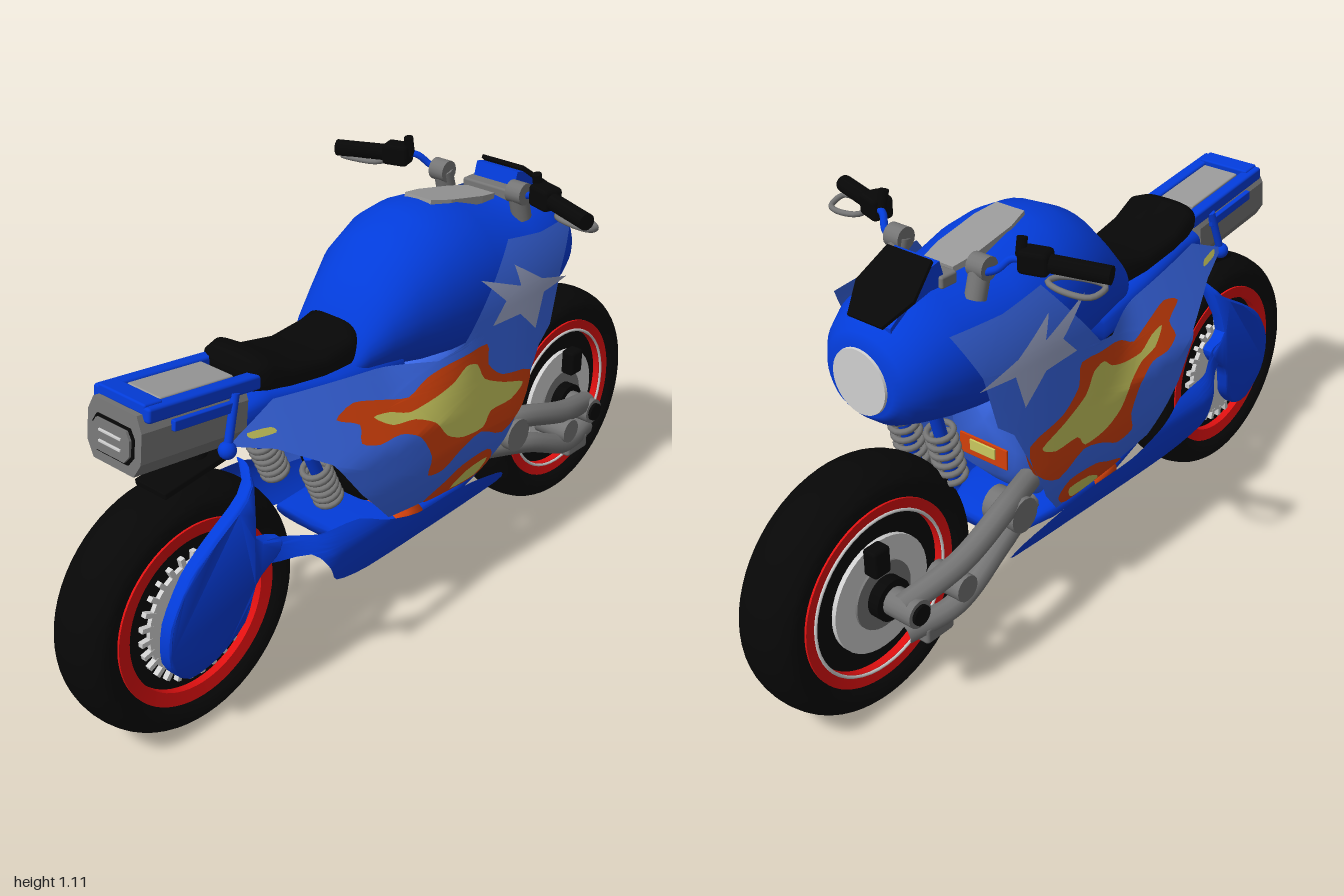
import * as THREE from 'three';
import { mergeVertices, toCreasedNormals } from 'three/addons/utils/BufferGeometryUtils.js';
import { RoundedBoxGeometry } from 'three/addons/geometries/RoundedBoxGeometry.js';

const V = (x, y, z) => new THREE.Vector3(x, y, z);
const shapeOf = pts => new THREE.Shape(pts.map(p => new THREE.Vector2(p[0], p[1])));
const { smoothstep, lerp } = THREE.MathUtils;

function paint(name, color, side = THREE.FrontSide) {
  const m = new THREE.MeshStandardMaterial({ color, side });
  m.name = name;
  return m;
}

export function createModel() {
  const model = new THREE.Group();
  model.name = 'motorcycle';
  const blue = paint('body blue', 0x033cda, THREE.DoubleSide);
  const pale = paint('panel blue', 0x3a6aec, THREE.DoubleSide);
  const orange = paint('camouflage orange', 0xd2400a, THREE.DoubleSide);
  const yellow = paint('camouflage yellow', 0xcac95e, THREE.DoubleSide);
  const bolt = paint('lightning silver', 0x9fa9cc, THREE.DoubleSide);
  const silver = paint('silver', 0x999999);
  const white = paint('disc white', 0xd0d0d0, THREE.DoubleSide);
  const grey = paint('metal grey', 0x757575);
  const black = paint('black', 0x070707, THREE.DoubleSide);
  const red = paint('rim red', 0xe01010);

  const add = (name, geo, mat, x = 0, y = 0, z = 0, parent = model) => {
    const mesh = new THREE.Mesh(geo, mat);
    mesh.name = name;
    mesh.position.set(x, y, z);
    parent.add(mesh);
    return mesh;
  };
  const box = (name, w, h, d, mat, x, y, z, parent) =>
    add(name, new RoundedBoxGeometry(w, h, d, 2, Math.min(w, h, d) * 0.2), mat, x, y, z, parent);
  const prism = (name, pts, depth, mat, y, z, parent) =>
    add(name, new THREE.ExtrudeGeometry(shapeOf(pts), { depth, bevelEnabled: false }), mat, 0, y, z, parent);
  // Straight round bar between two points
  const rod = (name, a, b, r, mat) => {
    const d = b.clone().sub(a);
    const m = add(name, new THREE.CylinderGeometry(r, r, d.length(), 16), mat);
    m.position.copy(a).addScaledVector(d, 0.5);
    m.quaternion.setFromUnitVectors(V(0, 1, 0), d.normalize());
  };
  const bend = (name, pts, r, mat, closed = false) =>
    add(name, new THREE.TubeGeometry(new THREE.CatmullRomCurve3(pts, closed), 28, r, 10, closed), mat);
  // Coil spring around a damper bar
  const spring = (name, a, b, r, mat) => {
    rod(name + 'Damper', a, b, r * 0.5, blue);
    const dir = b.clone().sub(a).normalize();
    for (let i = 0; i < 6; i++) {
      const t = add(name + 'Coil', new THREE.TorusGeometry(r, r * 0.24, 8, 18), mat);
      t.position.lerpVectors(a, b, 0.14 + i * 0.12);
      t.quaternion.setFromUnitVectors(V(0, 0, 1), dir);
    }
  };

  // Loft of rounded sections [z, bottom, top, half width], from rear to front
  const loft = (name, sections, mat, power = 2.1) => {
    const n = 40, pos = [], idx = [], e = 2 / power;
    const shut = ([z, b, t]) => [z, (b + t) / 2 - 1e-4, (b + t) / 2 + 1e-4, 1e-4];
    const rings = [shut(sections[0]), ...sections, shut(sections[sections.length - 1])];
    rings.forEach(([z, b, t, w], i) => {
      for (let j = 0; j < n; j++) {
        const a = (j / n) * Math.PI * 2, c = Math.cos(a), s = Math.sin(a);
        pos.push(w * Math.sign(c) * Math.abs(c) ** e, (b + t) / 2 + ((t - b) / 2) * Math.sign(s) * Math.abs(s) ** e, z);
        if (i === rings.length - 1) continue;
        const p = i * n + j, q = i * n + ((j + 1) % n);
        idx.push(p, p + n, q, q, p + n, q + n);
      }
    });
    const g = new THREE.BufferGeometry();
    g.setAttribute('position', new THREE.Float32BufferAttribute(pos, 3));
    g.setIndex(idx);
    g.computeVertexNormals();
    add(name, g, mat);
  };

  // Mirrored curved sheets: outline [z, y] in hundredths, pushed out to x = xOf(z, y)
  const curve = outline => new THREE.CatmullRomCurve3(outline.map(([z, y]) => V(z / 100, y / 100, 0)), true, 'catmullrom', 0.4)
    .getPoints(outline.length * 3).slice(0, -1).map(p => [p.x, p.y]);
  const sheet = (name, outline, xOf, mat, { round = false, off = 0, levels = 3 } = {}) => {
    const pts = round ? curve(outline) : outline.map(([z, y]) => [z / 100, y / 100]);
    const fp = new THREE.ShapeGeometry(shapeOf(pts)).toNonIndexed().attributes.position;
    let tris = [];
    for (let i = 0; i < fp.count; i += 3) tris.push([0, 1, 2].map(k => [fp.getX(i + k), fp.getY(i + k)]));
    const mid = (a, b) => [(a[0] + b[0]) / 2, (a[1] + b[1]) / 2];
    for (let l = 0; l < levels; l++) {
      tris = tris.flatMap(([a, b, c]) => {
        const d = mid(a, b), e = mid(b, c), f = mid(c, a);
        return [[a, d, f], [d, b, e], [f, e, c], [d, e, f]];
      });
    }
    for (const s of [1, -1]) {
      const pos = [];
      for (const t of tris) for (const [z, y] of s > 0 ? [t[0], t[2], t[1]] : t) pos.push(s * (xOf(z, y) + off), y, z);
      let g = new THREE.BufferGeometry();
      g.setAttribute('position', new THREE.Float32BufferAttribute(pos, 3));
      g = mergeVertices(g, 1e-5);
      g.computeVertexNormals();
      add((s > 0 ? 'left' : 'right') + name, g, mat);
    }
  };

  // Wheels
  const turn = pts => toCreasedNormals(new THREE.LatheGeometry(pts.map(p => new THREE.Vector2(...p)), 64).rotateZ(-Math.PI / 2), 0.6);
  const tyre = new THREE.CatmullRomCurve3([[0.228, -0.066], [0.25, -0.082], [0.278, -0.083], [0.302, -0.056], [0.313, 0],
    [0.302, 0.056], [0.278, 0.083], [0.25, 0.082], [0.228, 0.066]].map(p => V(p[0], p[1], 0))).getPoints(32).map(p => [p.x, p.y]);
  for (const [label, z] of [['rear', 0.687], ['front', -0.685]]) {
    const wheel = new THREE.Group();
    wheel.name = label + 'Wheel';
    wheel.position.set(0, 0.315, z);
    model.add(wheel);
    add('tyre', turn(tyre), black, 0, 0, 0, wheel);
    add('rim', turn([[0.198, -0.07], [0.231, -0.074], [0.231, 0.074], [0.198, 0.07], [0.198, -0.07]]), red, 0, 0, 0, wheel);
    add('wheelDisc', turn([[0, -0.05], [0.205, -0.05], [0.205, 0.05], [0, 0.05]]), black, 0, 0, 0, wheel);
    for (const s of [1, -1]) {
      const disc = (name, r, w, x, mat) => add(name, new THREE.CylinderGeometry(r, r, w, 40).rotateZ(Math.PI / 2), mat, s * x, 0, 0, wheel);
      disc('brakeDisc', 0.145, 0.012, 0.068, white);
      if (label === 'front') {
        disc('hubPlate', 0.085, 0.02, 0.07, grey);
        disc('hub', 0.052, 0.05, 0.085, black);
        add('rimEdge', new THREE.TorusGeometry(0.202, 0.004, 6, 48).rotateY(Math.PI / 2), white, s * 0.072, 0, 0, wheel);
      } else for (let i = 0; i < 28; i++) {
        const a = (i / 28) * Math.PI * 2;
        const tooth = add('discTooth', new THREE.BoxGeometry(0.014, 0.03, 0.012), white, s * 0.068, Math.cos(a) * 0.152, Math.sin(a) * 0.152, wheel);
        tooth.rotation.x = a;
      }
    }
  }

  // Tank and nose, seat, and the body below with its painted patches
  loft('tankAndNose', [[0.19, 0.72, 0.77, 0.09], [0.16, 0.7, 0.86, 0.12], [0.1, 0.69, 0.93, 0.142], [0.03, 0.68, 1.0, 0.168],
    [-0.06, 0.66, 1.043, 0.188], [-0.14, 0.65, 1.05, 0.198], [-0.22, 0.65, 1.04, 0.2], [-0.3, 0.65, 1.01, 0.2],
    [-0.4, 0.66, 0.995, 0.195], [-0.48, 0.67, 1.0, 0.184], [-0.55, 0.685, 0.985, 0.165], [-0.6, 0.7, 0.955, 0.14],
    [-0.625, 0.72, 0.925, 0.115], [-0.638, 0.735, 0.9, 0.095]], blue);
  loft('seat', [[0.5, 0.81, 0.85, 0.06], [0.485, 0.79, 0.872, 0.09], [0.45, 0.78, 0.878, 0.1], [0.39, 0.77, 0.84, 0.1],
    [0.28, 0.75, 0.82, 0.095], [0.19, 0.74, 0.835, 0.09], [0.14, 0.74, 0.86, 0.08]], black, 3);
  loft('seatBase', [[0.58, 0.72, 0.78, 0.08], [0.45, 0.7, 0.8, 0.09], [0.25, 0.66, 0.77, 0.11], [0.05, 0.64, 0.76, 0.13]], blue, 3);
  loft('engineBlock', [[0.2, 0.42, 0.67, 0.09], [0.12, 0.34, 0.67, 0.108], [-0.02, 0.32, 0.67, 0.11]], black, 4);
  loft('engineCover', [[-0.01, 0.33, 0.68, 0.115], [-0.15, 0.3, 0.68, 0.12], [-0.25, 0.4, 0.68, 0.1]], pale, 4);
  box('engineOrangePatch', 0.15, 0.055, 0.008, orange, 0, 0.455, -0.251);
  box('engineYellowPatch', 0.08, 0.03, 0.008, yellow, 0, 0.46, -0.255);
  loft('bellyPan', [[0.25, 0.29, 0.33, 0.12], [0.05, 0.26, 0.32, 0.15], [-0.15, 0.25, 0.31, 0.14], [-0.28, 0.245, 0.28, 0.1]], blue, 3);
  loft('bellyOrangeBand', [[0.09, 0.263, 0.323, 0.148], [0.05, 0.256, 0.322, 0.152], [0, 0.254, 0.319, 0.151]], orange, 3);

  // Side panels, leaning in toward the seat, with painted camouflage and lightning
  const sideX = (z, y) => 0.212 - 0.15 * Math.max(0, z) ** 2 - 0.25 * Math.max(0, -0.25 - z) ** 2
    - 1.4 * Math.max(0, 0.5 - y) ** 2 - 1.0 * Math.max(0, y - 0.8) ** 2
    - 0.4 * Math.max(0, y - 0.58) * smoothstep(z, -0.1, 0.15);
  sheet('SidePanel', [[60, 72], [46, 78], [17, 75.5], [0, 73], [-7, 75], [-26, 96], [-39, 94], [-54, 94], [-47, 82], [-43, 68],
    [-38, 64], [-26, 41], [-18, 32], [17, 37], [28, 49], [36, 60], [49, 68]], sideX, pale, { levels: 4 });
  const camo = (name, pts, mat, off) => sheet(name, pts, sideX, mat, { round: true, off });
  const patch = [[32, 69], [26, 71], [18, 69], [10, 67], [4, 70], [-3, 72], [-15, 73], [-16, 67], [-22, 62], [-33.5, 59], [-31, 50],
    [-23, 45], [-14, 49], [-6, 47], [0, 44], [6, 45], [5, 50], [9, 57], [15, 60], [22, 60], [27, 62], [26, 66]];
  camo('OrangePatch', patch, orange, 0.006);
  camo('InnerOrangePatch', patch, orange, -0.006);
  camo('YellowPatch', [[22, 66.5], [17, 66], [11, 64], [3, 65], [-3, 67], [-7, 70], [-11, 69], [-14, 64], [-22, 60], [-30, 57], [-25, 54],
    [-17, 54], [-14, 50.5], [-6, 51], [0, 54], [4, 59], [10, 62], [17, 63]], yellow, 0.011);
  camo('LowerOrangePatch', [[5, 36], [-2, 39], [-8, 41.5], [-18, 42], [-21, 38], [-16, 33.5], [-2, 34.5]], orange, 0.006);
  camo('LowerYellowPatch', [[-5, 35.5], [-10, 39], [-18, 39.5], [-15, 35]], yellow, 0.011);
  camo('TailPatch', [[55, 73.5], [49, 73], [48, 71.5], [54, 72]], yellow, 0.006);
  sheet('Lightning', [[-13, 90], [-28, 84], [-26, 90], [-37, 83], [-49, 79.5], [-38, 79], [-35, 70], [-28, 76.5], [-17, 77], [-22, 82]],
    sideX, bolt, { off: 0.007 });

  // Lower fairing, flared ahead of the rear wheel
  const lowX = (z, y) => lerp(
    0.222 - (y > 0.38 ? 7 : 2.2) * (y - 0.38) ** 2 - 0.05 * Math.abs(z - 0.4),
    0.152 - 0.6 * (y - 0.4) ** 2 - 0.08 * Math.max(0, z - 0.6),
    smoothstep(z, 0.4, 0.56));
  sheet('LowerFairing', [[54, 47], [54, 41], [45, 41], [41, 36], [38, 31], [25, 27], [0, 25], [-31, 23.5], [-30, 28], [-18, 32], [-7, 34],
    [8, 35], [20, 39], [29, 43], [42, 44.5]], lowX, blue, { round: true });
  // Solid covers over the rear hub, joined to the fairing
  const cover = curve([[53, 64.5], [58, 59], [68, 53], [76, 47], [82, 37], [82, 26], [76, 19], [68, 21], [61, 28], [58, 37], [52, 42],
    [50, 46], [57, 49]]);
  for (const s of [1, -1]) {
    const g = new THREE.ExtrudeGeometry(shapeOf(cover), { depth: 0.02, bevelSize: 0.006, bevelThickness: 0.008, bevelOffset: -0.006, bevelSegments: 2 });
    g.rotateY(-Math.PI / 2);
    const p = g.attributes.position;
    for (let i = 0; i < p.count; i++) p.setX(i, p.getX(i) + s * (lowX(p.getZ(i), p.getY(i)) - 0.016) + 0.01);
    g.computeVertexNormals();
    add('hubCover', toCreasedNormals(g, 0.7), blue);
  }

  // Headlight, windscreen, instrument and tank plate
  const lamp = add('headlight', new THREE.CylinderGeometry(0.078, 0.082, 0.02, 40), white, 0, 0.817, -0.634);
  lamp.rotation.x = -Math.PI / 2;
  prism('windscreenCowl', [[-0.42, 0.95], [-0.45, 1.05], [-0.475, 1.045], [-0.605, 0.95], [-0.6, 0.9]], 0.13, blue, 0, 0)
    .geometry.translate(0, 0, -0.065).rotateY(-Math.PI / 2);
  const screen = prism('windscreen', [[-0.065, -0.09], [0.065, -0.09], [0.085, 0.01], [0.05, 0.09], [-0.05, 0.09], [-0.085, 0.01]],
    0.009, black, 1.0, -0.54);
  screen.rotation.x = -Math.PI / 2 - 0.64;
  box('instrument', 0.15, 0.03, 0.05, grey, 0, 1.0, -0.43);
  const oct = (w, h) => [[-w, -h * 0.5], [-w * 0.75, -h], [w * 0.75, -h], [w, -h * 0.5], [w, h * 0.5], [w * 0.8, h], [-w * 0.8, h], [-w, h * 0.5]];
  prism('tankPlate', oct(0.055, 0.125), 0.02, silver, 1.012, -0.26).rotation.x = -Math.PI / 2 - 0.2;

  // Tail unit, tilted upward to the rear
  const tail = new THREE.Group();
  tail.name = 'tailUnit';
  tail.position.set(0, 0.8, 0.67);
  tail.rotation.x = -0.13;
  model.add(tail);
  prism('tailHousing', oct(0.086, 0.07), 0.3, grey, -0.02, -0.15, tail);
  prism('tailLampFrame', oct(0.066, 0.042), 0.004, black, -0.025, 0.15, tail);
  prism('tailLamp', oct(0.06, 0.036), 0.01, grey, -0.025, 0.15, tail);
  for (const y of [-0.037, -0.012]) box('tailLampBar', 0.07, 0.006, 0.006, white, 0, y, 0.161, tail);
  box('rackPlate', 0.105, 0.02, 0.21, silver, 0, 0.056, -0.03, tail);
  box('rackEnd', 0.15, 0.025, 0.05, blue, 0, 0.06, 0.11, tail);

  // Rear mudguard
  box('rearMudguard', 0.1, 0.016, 0.2, black, 0, 0.645, 0.64).rotation.x = 0.12;
  rod('mudguardStay', V(0, 0.65, 0.6), V(0, 0.76, 0.56), 0.02, black);

  for (const s of [1, -1]) {
    // Rack rails, tail struts and rear spring
    box('rackRail', 0.034, 0.035, 0.32, blue, s * 0.073, 0.05, -0.025, tail);
    box('rackSide', 0.014, 0.025, 0.18, blue, s * 0.09, 0.015, -0.02, tail);
    add('strutKnob', new THREE.SphereGeometry(0.021, 16, 12), blue, s * 0.1, 0.71, 0.6);
    rod('tailStrut', V(s * 0.1, 0.71, 0.6), V(s * 0.09, 0.83, 0.56), 0.01, blue);
    spring('rearSpring', V(s * 0.09, 0.42, 0.27), V(s * 0.09, 0.58, 0.34), 0.032, grey);

    // Front swing arms, pivots, axle and caliper
    bend('upperFrontArm', [V(s * 0.13, 0.42, -0.24), V(s * 0.165, 0.42, -0.36), V(s * 0.18, 0.37, -0.54), V(s * 0.15, 0.325, -0.7)], 0.03, grey);
    bend('lowerFrontArm', [V(s * 0.13, 0.36, -0.24), V(s * 0.17, 0.33, -0.4), V(s * 0.18, 0.265, -0.56), V(s * 0.15, 0.25, -0.7)], 0.028, grey);
    rod('armPivot', V(s * 0.1, 0.39, -0.33), V(s * 0.195, 0.39, -0.33), 0.045, grey);
    rod('frontAxle', V(s * 0.07, 0.315, -0.685), V(s * 0.19, 0.315, -0.685), 0.035, grey);
    rod('axleCap', V(s * 0.185, 0.315, -0.685), V(s * 0.198, 0.315, -0.685), 0.025, black);
    rod('armJoint', V(s * 0.11, 0.315, -0.55), V(s * 0.21, 0.315, -0.55), 0.033, grey);
    box('lowerPivot', 0.06, 0.045, 0.09, grey, s * 0.16, 0.235, -0.62);
    box('brakeCaliper', 0.04, 0.07, 0.05, black, s * 0.09, 0.43, -0.71);
    spring('frontSpring', V(s * 0.06, 0.47, -0.42), V(s * 0.06, 0.69, -0.48), 0.032, grey);

    // Handlebar, controls, grip and lever
    rod('barRiser', V(s * 0.12, 0.96, -0.4), V(s * 0.12, 1.03, -0.38), 0.025, grey);
    rod('barClamp', V(s * 0.1, 1.03, -0.38), V(s * 0.145, 1.03, -0.38), 0.028, grey);
    bend('handlebar', [V(s * 0.13, 1.02, -0.39), V(s * 0.165, 1.035, -0.38), V(s * 0.19, 1.06, -0.36), V(s * 0.24, 1.06, -0.34)], 0.009, blue);
    rod('grip', V(s * 0.22, 1.06, -0.34), V(s * 0.395, 1.053, -0.28), 0.021, black);
    box('controls', 0.07, 0.055, 0.055, black, s * 0.235, 1.06, -0.335).rotation.y = s * -0.3;
    rod('controlPost', V(s * 0.205, 1.06, -0.35), V(s * 0.203, 1.108, -0.34), 0.012, black);
    bend('lever', [V(s * 0.28, 1.03, -0.35), V(s * 0.33, 1.025, -0.36), V(s * 0.385, 1.02, -0.335), V(s * 0.388, 1.03, -0.29), V(s * 0.29, 1.03, -0.31)], 0.007, grey, true);
  }
  return model;
}
